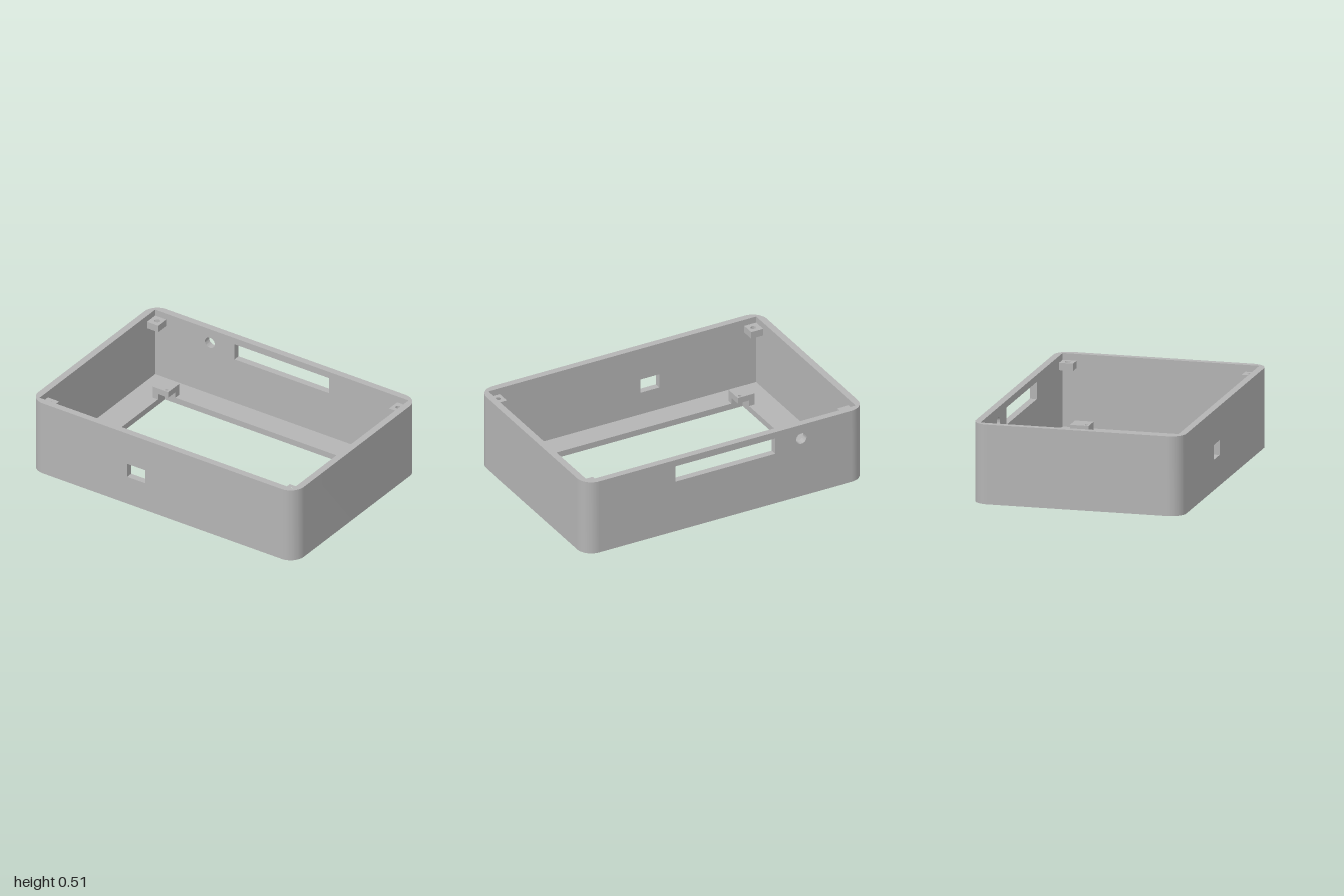
import * as THREE from 'three';
import { toCreasedNormals } from 'three/addons/utils/BufferGeometryUtils.js';

const H = 0.51, X = 1, Z = 0.68, R = 0.1; // outer size and corner radius
const IX = 0.955, IZ = 0.635;             // inner faces of the walls
const OX = 0.77, OZ = 0.475;              // floor opening
const FLOOR = 0.04;

const polygon = (pts) => new THREE.Shape(pts.map(([x, y]) => new THREE.Vector2(x, y)));
const rect = (x0, y0, x1, y1) => polygon([[x0, y0], [x1, y0], [x1, y1], [x0, y1]]);
const circle = (x, y, r) => new THREE.Path().absarc(x, y, r, 0, Math.PI * 2, true);

export function createModel() {
  const group = new THREE.Group();
  const grey = new THREE.MeshStandardMaterial({ color: 0xb4b4b4 });
  grey.name = 'grey plastic';

  const extrude = (shape, depth) => toCreasedNormals(
    new THREE.ExtrudeGeometry(shape, { depth, bevelEnabled: false, curveSegments: 16 }), 0.6);
  const add = (name, geometry) => {
    const mesh = new THREE.Mesh(geometry, grey);
    mesh.name = name;
    group.add(mesh);
    return mesh;
  };
  // plan outline in (x, -z), raised from y0 to y1
  const slab = (name, shape, y0, y1) =>
    add(name, extrude(shape, y1 - y0).rotateX(-Math.PI / 2).translate(0, y0, 0));

  // end walls with rounded outer and square inner corners
  const c = X - R;
  const end = new THREE.Shape();
  end.moveTo(c, -Z);
  end.absarc(c, -Z + R, R, -Math.PI / 2, 0, false);
  end.absarc(c, Z - R, R, 0, Math.PI / 2, false);
  for (const [x, y] of [[c, IZ], [IX, IZ], [IX, -IZ], [c, -IZ]]) end.lineTo(x, y);
  end.closePath();
  slab('leftWall', end, 0, H);
  slab('rightWall', end, 0, H).rotation.y = Math.PI;

  // front wall with a small port
  const front = rect(-c, 0, c, H);
  front.holes.push(rect(-0.265, 0.195, -0.13, 0.29));
  add('frontWall', extrude(front, Z - IZ).translate(0, 0, IZ));

  // back wall with a long slot and a round hole
  const back = rect(-c, 0, c, H);
  back.holes.push(rect(-0.355, 0.355, 0.355, 0.465), circle(-0.54, 0.412, 0.037));
  add('backWall', extrude(back, Z - IZ).translate(0, 0, -Z));

  // floor frame
  const floor = rect(-IX, -IZ, IX, IZ);
  floor.holes.push(rect(-OX, -OZ, OX, OZ));
  slab('floorFrame', floor, 0, FLOOR);

  for (const sx of [-1, 1]) for (const sy of [-1, 1]) {
    const at = (pts) => polygon(pts.map(([x, y]) => [sx * x, sy * y]));

    // lid screw tab in the upper corner
    const tab = at([[0.87, 0.545], [IX, 0.545], [IX, IZ], [0.87, IZ]]);
    tab.holes.push(circle(sx * 0.908, sy * 0.59, 0.017));
    slab('lidTab', tab, 0.42, 0.467);

    // L-shaped standoff at the corner of the opening, with its top plate
    const leg = at([[0.81, 0.395], [0.81, 0.515], [0.69, 0.515],
      [0.69, OZ], [OX, OZ], [OX, 0.395]]);
    slab('standoffLeg', leg, FLOOR, 0.08);
    const plate = at([[0.69, 0.395], [0.81, 0.395], [0.81, 0.515], [0.69, 0.515]]);
    plate.holes.push(circle(sx * 0.715, sy * 0.415, 0.01));
    slab('standoffPlate', plate, 0.08, 0.12);
  }
  return group;
}
